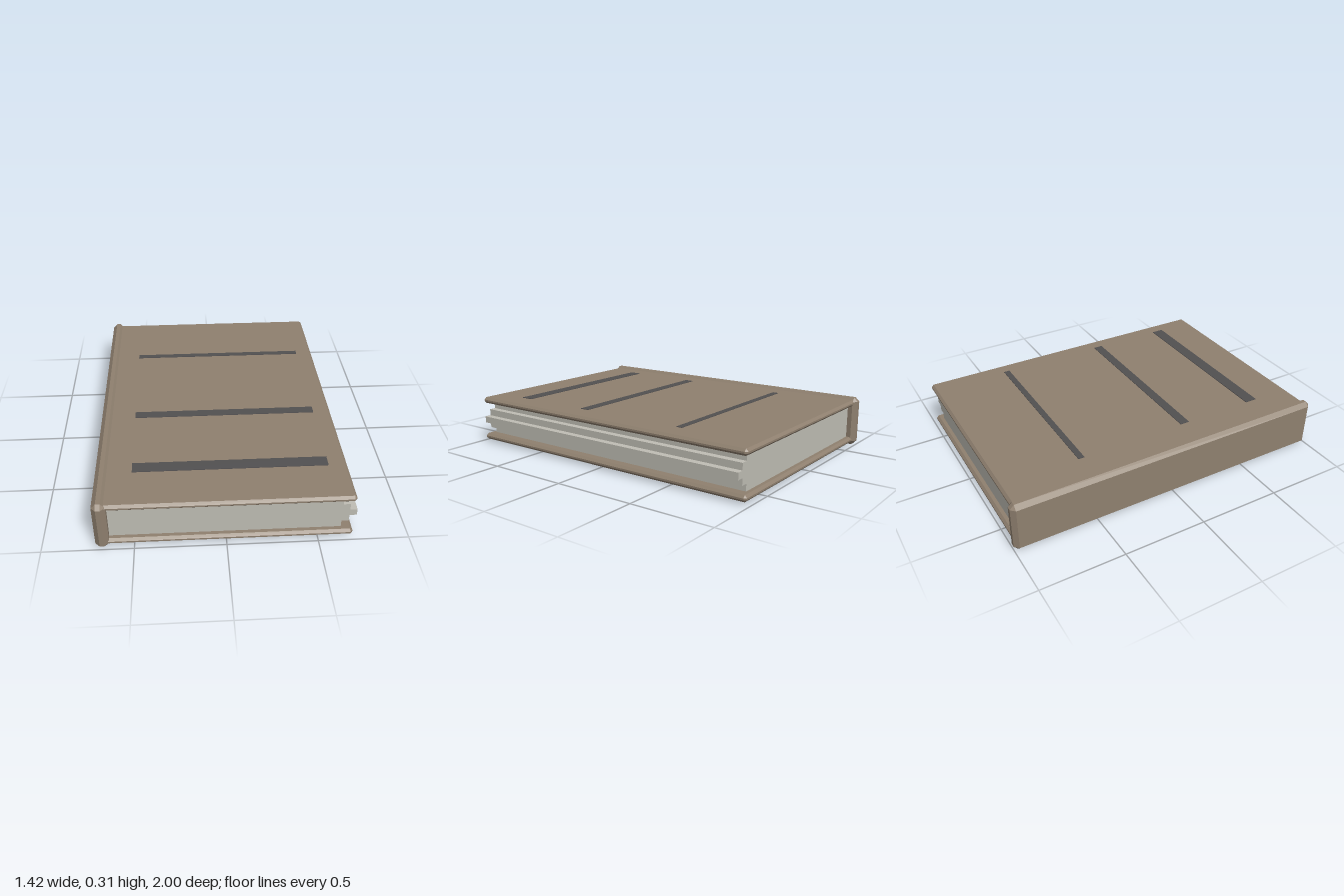
import * as THREE from 'three';
import { ConvexGeometry } from 'three/addons/geometries/ConvexGeometry.js';

// Box with every edge cut by a flat chamfer c
function chamferBox(w, h, d, c) {
  const pts = [];
  for (const sx of [-1, 1]) for (const sy of [-1, 1]) for (const sz of [-1, 1]) {
    const x = sx * w / 2, y = sy * h / 2, z = sz * d / 2;
    const xi = x - sx * c, yi = y - sy * c, zi = z - sz * c;
    pts.push(new THREE.Vector3(x, yi, zi), new THREE.Vector3(xi, y, zi), new THREE.Vector3(xi, yi, z));
  }
  return new ConvexGeometry(pts);
}

export function createModel() {
  const book = new THREE.Group();
  book.name = 'book';
  const material = (name, color) => {
    const m = new THREE.MeshStandardMaterial({ color });
    m.name = name;
    return m;
  };
  const leather = material('brown cover', 0x8f806f);
  const paper = material('pale paper', 0xbfbdb4);
  const band = material('dark band', 0x525051);

  const midY = 0.153;
  const add = (name, geometry, mat, x, y, z = 0) => {
    const mesh = new THREE.Mesh(geometry, mat);
    mesh.name = name;
    mesh.position.set(x, y, z);
    book.add(mesh);
  };

  // Spine, standing slightly proud of the covers
  add('spine', chamferBox(0.075, 0.306, 2, 0.025), leather, -0.6715, midY);

  // Two cover boards
  for (const [name, s] of [['bottomCover', -1], ['topCover', 1]])
    add(name, chamferBox(1.355, 0.038, 1.964, 0.014), leather, 0.0125, midY + s * 0.12);

  // Page block, with a stepped fore edge
  const outline = [[-0.65, 0.101], [0.628, 0.101], [0.628, 0.06], [0.668, 0.06], [0.668, 0.02], [0.708, 0.02]];
  const mirrored = outline.map(([x, y]) => [x, -y]).reverse();
  const profile = new THREE.Shape([...mirrored, ...outline].map(([x, y]) => new THREE.Vector2(x, y)));
  const pages = new THREE.ExtrudeGeometry(profile, { depth: 1.894, bevelEnabled: false });
  pages.translate(0, 0, -0.947);
  add('pages', pages, paper, 0, midY);

  // Bands hovering just above the front cover: [centre z, width]
  for (const [z, width] of [[-0.498, 0.037], [0.192, 0.057], [0.688, 0.075]])
    add('coverBand', new THREE.BoxGeometry(1.085, 0.003, width), band, 0.0375, 0.304, z);

  return book;
}
